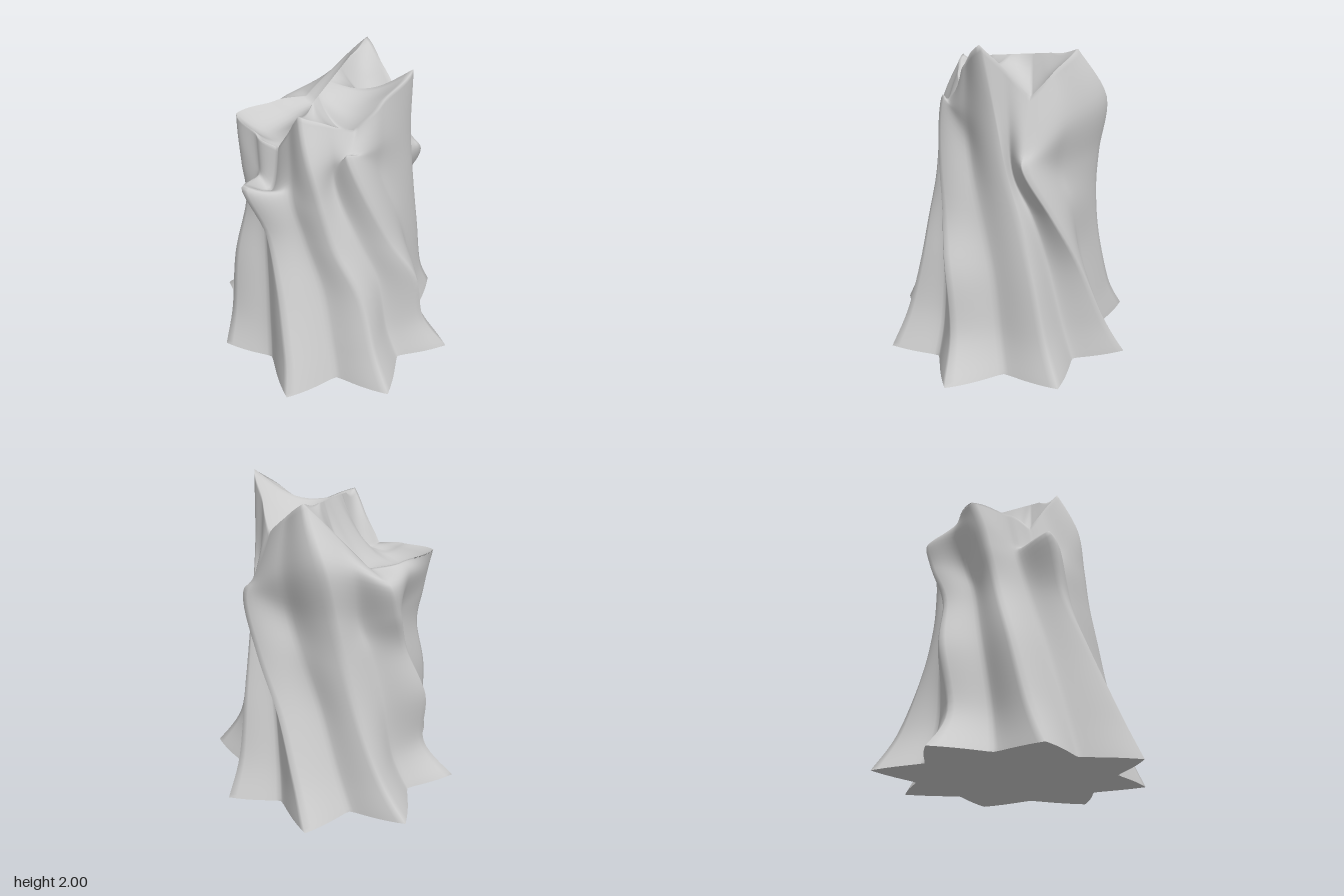
import * as THREE from 'three';

// Ridges in order of angle: seven keys each from root to rim.
// a = angle in degrees (+x towards +z), r = radius, y = heights of the last three keys.
const RIDGES = [
  { a: [7, 11, 17, 33, 62, 59, 50], r: [0.83, 0.67, 0.62, 0.5, 0.42, 0.37, 0.3], y: [1.57, 1.6, 1.7] },
  { a: [49, 52, 57, 74, 83, 92, 106], r: [0.81, 0.68, 0.56, 0.48, 0.46, 0.45, 0.36], y: [1.28, 1.55, 1.81] },
  { a: [96, 99, 109, 123, 135, 135, 140], r: [0.81, 0.71, 0.59, 0.53, 0.61, 0.42, 0.35], y: [1.33, 1.24, 1.5] },
  { a: [143, 149, 157, 166, 171, 175, 180], r: [0.78, 0.7, 0.64, 0.55, 0.57, 0.59, 0.61], y: [1.25, 1.42, 1.55] },
  { a: [187, 189, 196, 207, 221, 229, 232], r: [0.83, 0.63, 0.64, 0.54, 0.58, 0.59, 0.42], y: [1.28, 1.49, 1.54] },
  { a: [230, 237, 247, 255, 261, 268, 282], r: [0.84, 0.7, 0.59, 0.55, 0.56, 0.6, 0.46], y: [1.3, 1.65, 1.94] },
  { a: [274, 281, 294, 313, 331, 329, 323], r: [0.81, 0.7, 0.61, 0.58, 0.57, 0.5, 0.41], y: [1.31, 1.42, 1.7] },
  { a: [318, 321, 326, 333, 342, 350, 360], r: [0.8, 0.69, 0.61, 0.54, 0.49, 0.46, 0.46], y: [1.3, 1.62, 2.0] },
];
const LOW_Y = [0, 0.25, 0.65, 1.0];
const VALLEY = [0.73, 0.77, 0.79, 0.83, 0.78, 0.89, 0.94]; // groove radius over ridge radius
const ROWS = 42, STEPS = 8, RINGS = 12;
const COLS = RIDGES.length * 2 * STEPS;
const { lerp: mix, clamp, degToRad } = THREE.MathUtils;

// Smooth curve through evenly spaced keys
function curve(keys, t) {
  const s = t * (keys.length - 1), i = Math.min(Math.floor(s), keys.length - 2), f = s - i;
  const k = (n) => keys[clamp(n, 0, keys.length - 1)];
  const m0 = (k(i + 1) - k(i - 1)) / 2, m1 = (k(i + 2) - k(i)) / 2;
  const f2 = f * f, f3 = f2 * f;
  return k(i) * (2 * f3 - 3 * f2 + 1) + m0 * (f3 - 2 * f2 + f) + k(i + 1) * (3 * f2 - 2 * f3) + m1 * (f3 - f2);
}

// Columns of polar keys: ridge, groove, ridge, groove ...
function buildColumns() {
  const cols = [];
  RIDGES.forEach((ridge, i) => {
    const next = RIDGES[(i + 1) % RIDGES.length];
    const turn = i === RIDGES.length - 1 ? 360 : 0;
    const y = [...LOW_Y, ...ridge.y], ny = [...LOW_Y, ...next.y];
    cols.push({ a: ridge.a, r: ridge.r, y });
    cols.push({
      a: ridge.a.map((a, k) => (a + next.a[k] + turn) / 2),
      r: ridge.r.map((r, k) => VALLEY[k] * (r + next.r[k]) / 2),
      y: y.map((h, k) => (h + ny[k]) / 2 - (k === 4 ? 0.06 : 0)),
    });
  });
  return cols;
}

function sideGeometry() {
  const cols = buildColumns(), pos = [], index = [];
  // twisted fluted wall
  for (let j = 0; j <= ROWS; j++) {
    const v = j / ROWS;
    const ring = cols.map((c) => ({ a: curve(c.a, v), r: curve(c.r, v), y: curve(c.y, v) }));
    for (let i = 0; i < COLS; i++) {
      const n = Math.floor(i / STEPS), t = (i % STEPS) / STEPS;
      const p = ring[n], q = ring[(n + 1) % ring.length];
      const qa = n === ring.length - 1 ? q.a + 360 : q.a;
      // crests are crisp at the roots and rounder higher up
      const u = n % 2 ? t : 1 - t;
      const s = mix(Math.pow(u, 1.3), (1 - Math.cos(Math.PI * u)) / 2, 0.6 * v);
      const r = n % 2 ? mix(p.r, q.r, s) : mix(q.r, p.r, s);
      const a = degToRad(mix(p.a, qa, t));
      pos.push(r * Math.cos(a), Math.max(0, mix(p.y, q.y, t)), r * Math.sin(a));
    }
  }
  // broken summit: rings drawn in from the rim to a crest running front to back
  const rim = ROWS * COLS * 3;
  for (let j = 1; j <= RINGS; j++) {
    const s = j / RINGS;
    for (let i = 0; i < COLS; i++) {
      const [x, y, z] = pos.slice(rim + i * 3, rim + i * 3 + 3);
      const cz = clamp(z * 0.6, -0.28, 0.2);
      const dip = 0.25 * Math.abs(x) * Math.sin(Math.PI * s);
      pos.push(mix(x, -0.02 - cz * 0.2, s), mix(y, 1.85 - cz * 0.15, s * s) - dip, mix(z, cz, s));
    }
  }
  for (let j = 0; j < ROWS + RINGS; j++) {
    for (let i = 0; i < COLS; i++) {
      const a = j * COLS + i, b = j * COLS + (i + 1) % COLS;
      index.push(a, a + COLS, b, b, a + COLS, b + COLS);
    }
  }
  const geo = new THREE.BufferGeometry();
  geo.setAttribute('position', new THREE.Float32BufferAttribute(pos, 3));
  geo.setIndex(index);
  geo.computeVertexNormals();
  return geo;
}

// Flat underside following the root outline
function baseGeometry(side) {
  const p = side.attributes.position, outline = [];
  for (let i = 0; i < COLS; i++) outline.push(new THREE.Vector2(p.getX(i), p.getZ(i)));
  return new THREE.ShapeGeometry(new THREE.Shape(outline)).rotateX(Math.PI / 2);
}

export function createModel() {
  const group = new THREE.Group();
  group.name = 'rockSpire';
  const material = new THREE.MeshStandardMaterial({ color: 0xcccccc, side: THREE.DoubleSide });
  const side = sideGeometry();
  const body = new THREE.Mesh(side, material);
  body.name = 'flutedBody';
  const base = new THREE.Mesh(baseGeometry(side), material);
  base.name = 'underside';
  group.add(body, base);
  return group;
}
